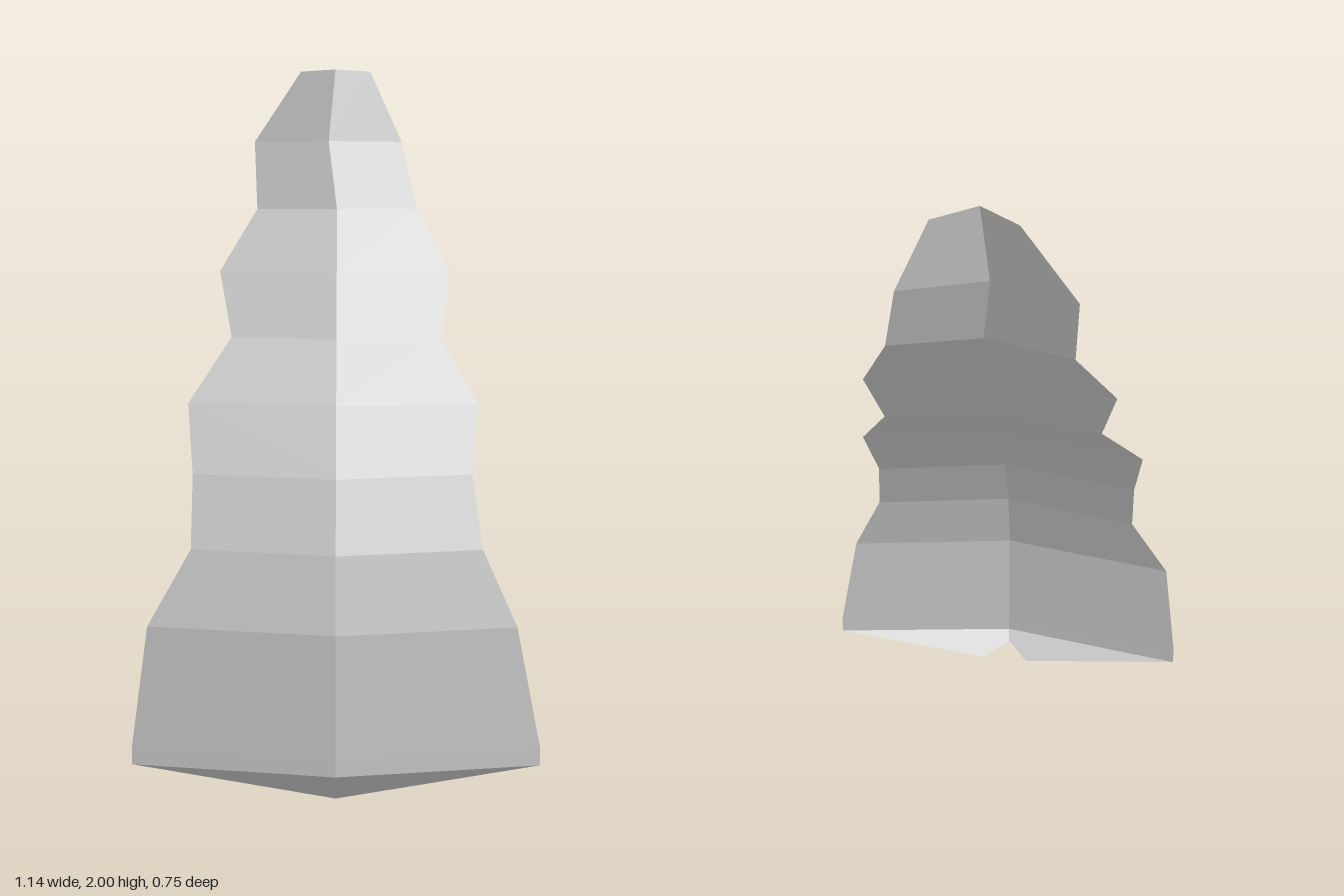
import * as THREE from 'three';

// Rows from bottom to top: y, right edge x, left edge x, edge z, fold x, fold z
const rows = [
  [0.00, -0.07, 0.08, 0.285, 0, 0.375],
  [0.06, -0.57, 0.57, 0.285, 0, 0.373],
  [0.11, -0.57, 0.57, 0.285, 0, 0.373],
  [0.46, -0.52, 0.50, 0.285, 0, 0.37],
  [0.67, -0.40, 0.405, 0.25, 0, 0.325],
  [0.865, -0.40, 0.38, 0.17, 0, 0.245],
  [1.05, -0.42, 0.40, 0.075, 0, 0.13],
  [1.225, -0.305, 0.30, -0.06, 0, 0.015],
  [1.41, -0.345, 0.33, -0.16, 0, -0.10],
  [1.59, -0.24, 0.24, -0.27, 0, -0.20],
  [1.79, -0.25, 0.195, -0.34, -0.025, -0.26],
  [2.00, -0.11, 0.10, -0.37, -0.005, -0.285],
];

// Flat panels between consecutive rows, one normal for each four-sided panel
function panels(part, side) {
  const pos = [], nor = [];
  const fold = r => new THREE.Vector3(r[4], r[0], r[5]);
  const edge = r => new THREE.Vector3(side > 0 ? r[2] : r[1], r[0], r[3]);
  for (let i = 0; i < part.length - 1; i++) {
    const a = fold(part[i]), b = edge(part[i]);
    const c = edge(part[i + 1]), d = fold(part[i + 1]);
    const n = c.clone().sub(a).cross(d.clone().sub(b)).multiplyScalar(side).normalize();
    const corners = side > 0 ? [a, b, c, a, c, d] : [a, c, b, a, d, c];
    for (const p of corners) {
      pos.push(p.x, p.y, p.z);
      nor.push(n.x, n.y, n.z);
    }
  }
  const g = new THREE.BufferGeometry();
  g.setAttribute('position', new THREE.Float32BufferAttribute(pos, 3));
  g.setAttribute('normal', new THREE.Float32BufferAttribute(nor, 3));
  return g;
}

export function createModel() {
  const group = new THREE.Group();
  group.name = 'foldedSheet';
  const paleGrey = new THREE.MeshStandardMaterial({ color: 0xcccccc, side: THREE.DoubleSide });
  paleGrey.name = 'paleGrey';

  for (const [name, side] of [['left', 1], ['right', -1]]) {
    // Half of the curved sheet, hinged on the middle fold
    const half = new THREE.Mesh(panels(rows.slice(1), side), paleGrey);
    half.name = name + 'Half';
    // Tapered flap under the bottom edge
    const flap = new THREE.Mesh(panels(rows.slice(0, 2), side), paleGrey);
    flap.name = name + 'BottomFlap';
    group.add(half, flap);
  }
  return group;
}
